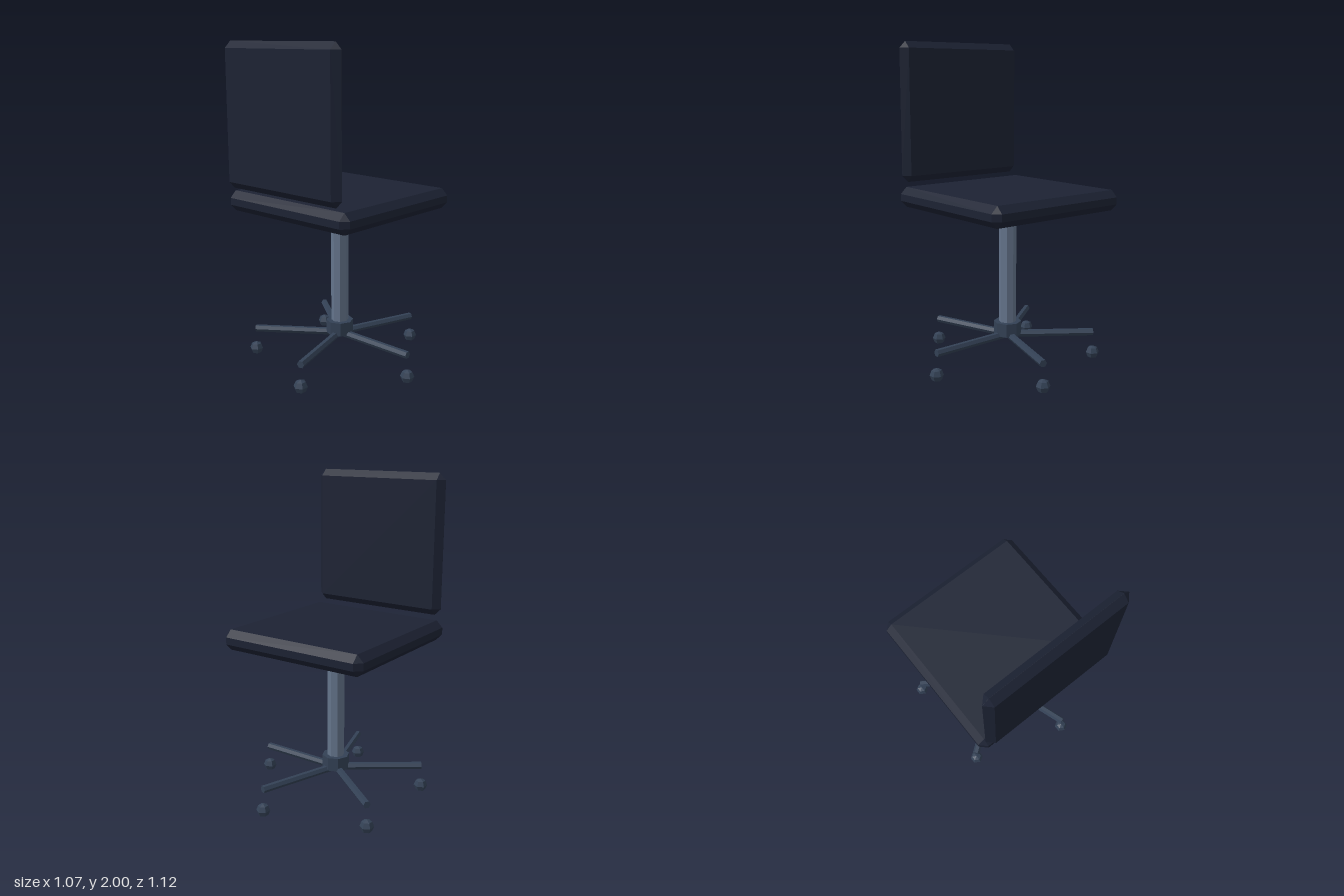
import * as THREE from 'three';
import { ConvexGeometry } from 'three/addons/geometries/ConvexGeometry.js';

const CX = -0.049;      // centre line of the chair
const SPOKES = 5;
const REACH = 0.546;    // hub centre to caster

const material = (color) => new THREE.MeshStandardMaterial({ color, flatShading: true });

// Box whose twelve edges are all cut by a flat chamfer
function chamferedBox(w, h, d, c) {
  const points = [];
  for (const sx of [-1, 1]) for (const sy of [-1, 1]) for (const sz of [-1, 1]) {
    const x = w / 2, y = h / 2, z = d / 2;
    points.push(
      new THREE.Vector3(sx * x, sy * (y - c), sz * (z - c)),
      new THREE.Vector3(sx * (x - c), sy * y, sz * (z - c)),
      new THREE.Vector3(sx * (x - c), sy * (y - c), sz * z)
    );
  }
  return new ConvexGeometry(points);
}

export function createModel() {
  const group = new THREE.Group();
  const fabric = material(0x1c2233);
  const steel = material(0x64748b);
  const dark = material(0x334155);

  function add(name, geometry, mat, x, y, z) {
    const mesh = new THREE.Mesh(geometry, mat);
    mesh.name = name;
    mesh.position.set(x, y, z);
    group.add(mesh);
    return mesh;
  }

  // Cushions
  add('seat', chamferedBox(0.975, 0.125, 0.978, 0.041), fabric, CX, 1.048, 0);
  add('backrest', chamferedBox(0.912, 0.865, 0.083, 0.041), fabric, CX, 1.5675, 0.478);

  // Column and hub
  add('column', new THREE.CylinderGeometry(0.054, 0.054, 0.81, 8), steel, CX, 0.585, 0);
  add('hub', new THREE.CylinderGeometry(0.086, 0.086, 0.085, 8), dark, CX, 0.2225, 0);

  // Star base: spokes from the centre with a caster below each tip
  const spoke = new THREE.CylinderGeometry(0.023, 0.023, REACH, 6)
    .rotateZ(-Math.PI / 2).translate(REACH / 2, 0, 0);
  const caster = new THREE.SphereGeometry(0.043, 6, 4).rotateY(Math.PI / 6);
  for (let i = 0; i < SPOKES; i++) {
    const a = (i / SPOKES) * Math.PI * 2;
    add('spoke' + (i + 1), spoke, dark, CX, 0.18, 0).rotation.y = a;
    add('caster' + (i + 1), caster, dark, CX + Math.cos(a) * REACH, 0.045, -Math.sin(a) * REACH);
  }
  return group;
}
